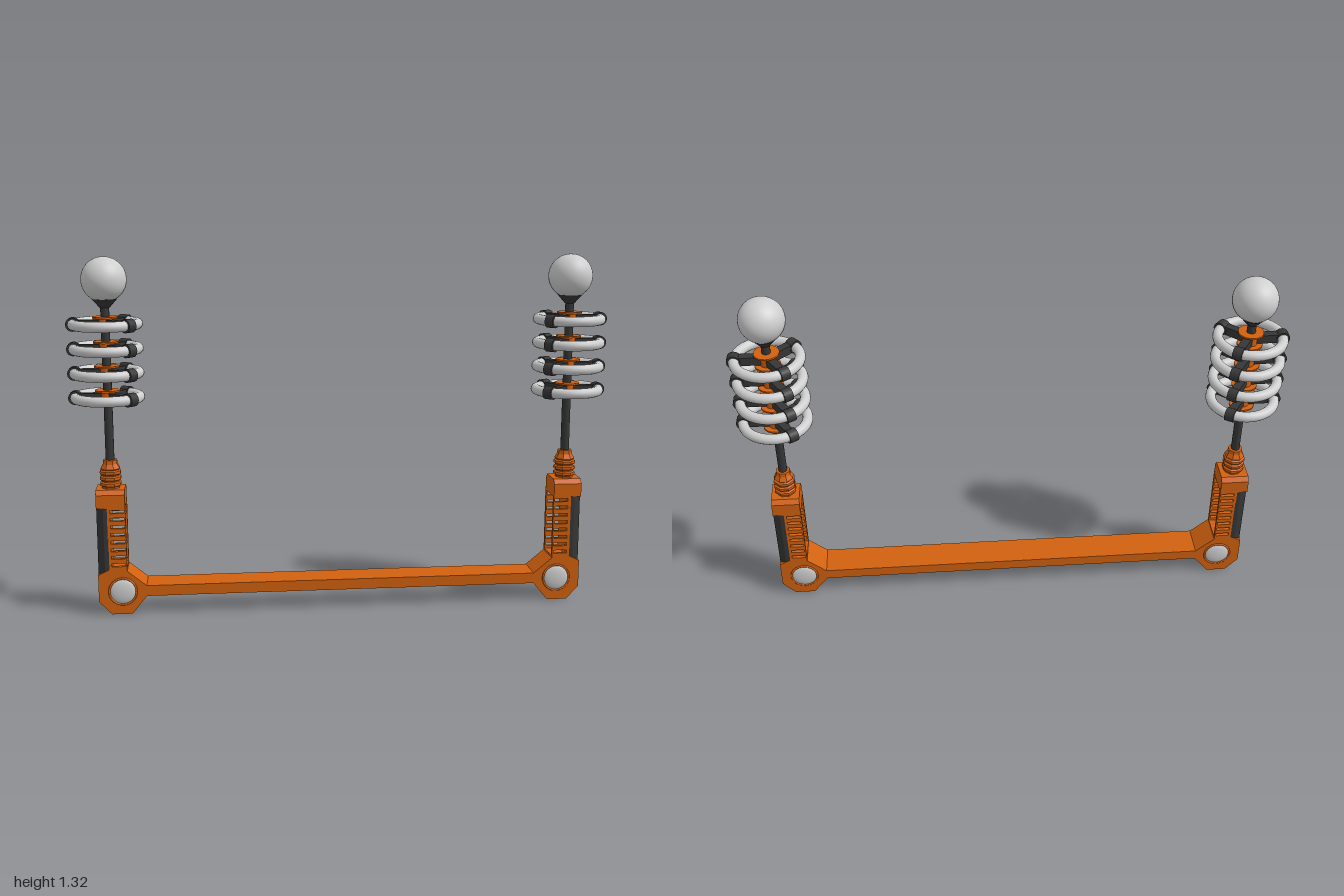
import * as THREE from 'three';

const mat = (name, color) => {
  const m = new THREE.MeshStandardMaterial({ color });
  m.name = name;
  return m;
};

export function createModel() {
  const orange = mat('orange', 0xd2610f);
  const black = mat('charcoal', 0x363636);
  const silver = mat('silver', 0xcfcfcf);
  const root = new THREE.Group();
  root.name = 'twinHandleBar';

  const add = (parent, name, geo, material, x = 0, y = 0, z = 0) => {
    const mesh = new THREE.Mesh(geo, material);
    mesh.name = name;
    mesh.position.set(x, y, z);
    parent.add(mesh);
    return mesh;
  };
  const box = (w, h, d) => new THREE.BoxGeometry(w, h, d);
  const shape = (pts) => new THREE.Shape(pts.map(([x, y]) => new THREE.Vector2(x, y)));
  const extrude = (s, depth) => new THREE.ExtrudeGeometry(s, { depth, bevelEnabled: false });
  const lathe = (pts, n) => new THREE.LatheGeometry(pts.map(([r, y]) => new THREE.Vector2(r, y)), n);

  const D = 0.061; // half depth of bar and handles
  const AX = 0.858; // distance of each spindle from the middle
  const ringHeights = [0.81, 0.899, 0.988, 1.077];

  // Crossbar
  add(root, 'crossbar', box(1.5, 0.04, 2 * D), orange, 0, 0.087, 0);

  // One end, built on +x; the other end is turned half a circle
  const buildEnd = (s) => {
    const g = new THREE.Group();
    g.name = s > 0 ? 'leftEnd' : 'rightEnd';
    if (s < 0) g.rotation.y = Math.PI;
    root.add(g);

    // Angled corner joint with domed pivot caps
    const joint = shape([[0.865, 0], [0.912, 0.05], [0.912, 0.152], [0.87, 0.172], [0.805, 0.172],
      [0.805, 0.165], [0.735, 0.107], [0.735, 0.067], [0.79, 0]]);
    add(g, 'cornerJoint', extrude(joint, 2 * D), orange, 0, 0, -D);
    for (const z of [-1, 1]) {
      const cap = add(g, 'pivotCap', new THREE.SphereGeometry(0.048, 32, 16), silver, 0.823, 0.087, z * 0.059);
      cap.scale.z = 0.25;
      add(g, 'pivotRim', new THREE.TorusGeometry(0.05, 0.004, 8, 32), orange, 0.823, 0.087, z * D);
    }

    // Slotted side walls around an open channel
    const wall = shape([[0.805, 0.165], [0.872, 0.165], [0.872, 0.42], [0.805, 0.42]]);
    for (let i = 0; i < 8; i++) {
      const y = 0.183 + i * 0.029;
      wall.holes.push(new THREE.Path([[0.81, y], [0.81, y + 0.012], [0.861, y + 0.012], [0.861, y]]
        .map(([a, b]) => new THREE.Vector2(a, b))));
    }
    for (const z of [-D, D - 0.014]) add(g, 'slottedWall', extrude(wall, 0.014), orange, 0, 0, z);
    add(g, 'handleSpine', box(0.012, 0.26, 2 * D - 0.01), orange, 0.867, 0.292, 0);

    // Chamfered grip on the outer face
    const grip = shape([[0.87, -D], [0.886, -D], [0.911, -0.046], [0.911, 0.046], [0.886, D], [0.87, D]]);
    const gripGeo = extrude(grip, 0.262).rotateX(-Math.PI / 2);
    // Slant the grip's ends so the outer face is longer than the inner edge
    const p = gripGeo.attributes.position;
    for (let i = 0; i < p.count; i++) {
      const t = (p.getX(i) - 0.87) / 0.041;
      p.setY(i, p.getY(i) > 0.1 ? 0.25 + 0.016 * t : 0.022 - 0.022 * t);
    }
    gripGeo.computeVertexNormals();
    add(g, 'grip', gripGeo, black, 0, 0.152, 0);

    // Handle top with chamfered shoulders
    const top = shape([[-D, 0.405], [D, 0.405], [D, 0.455], [0.047, 0.472], [-0.047, 0.472], [-D, 0.455]]);
    add(g, 'handleTop', extrude(top, 0.105).rotateY(Math.PI / 2), orange, 0.806, 0, 0);
    add(g, 'topPlate', box(0.006, 0.035, 0.08), orange, 0.91, 0.44, 0);

    // Ribbed neck
    const prof = [[0, 0.47], [0.034, 0.47]];
    for (let i = 0; i < 3; i++) {
      const y = 0.478 + i * 0.022;
      prof.push([0.034, y], [0.041, y + 0.004], [0.041, y + 0.014], [0.034, y + 0.018]);
    }
    prof.push([0.038, 0.545], [0.028, 0.562], [0.027, 0.577], [0, 0.577]);
    const neckMesh = add(g, 'neck', lathe(prof, 8).toNonIndexed(), orange, AX, 0, 0);
    neckMesh.geometry.computeVertexNormals();
    neckMesh.rotation.y = Math.PI / 8;

    // Spindle, collar and ball
    add(g, 'spindle', new THREE.CylinderGeometry(0.016, 0.016, 0.6, 20), black, AX, 0.87, 0);
    add(g, 'ballCollar', new THREE.CylinderGeometry(0.046, 0.018, 0.032, 24), black, AX, 1.152, 0);
    add(g, 'ball', new THREE.SphereGeometry(0.082, 40, 24), silver, AX, 1.237, 0);

    // Stack of rings, each on a flanged hub with three spokes and clips
    for (const y of ringHeights) {
      const tier = new THREE.Group();
      tier.name = 'ringTier';
      tier.position.set(AX, y, 0);
      g.add(tier);
      add(tier, 'ring', new THREE.TorusGeometry(0.116, 0.019, 14, 56).rotateX(Math.PI / 2), silver);
      add(tier, 'hub', new THREE.CylinderGeometry(0.026, 0.026, 0.05, 24), orange);
      for (const k of [-1, 1]) {
        add(tier, 'flange', new THREE.CylinderGeometry(0.046, 0.046, 0.006, 28), orange, 0, k * 0.024, 0);
      }
      for (const deg of [0, 123, -138]) {
        const arm = new THREE.Group();
        arm.name = 'spokeArm';
        arm.rotation.y = s * THREE.MathUtils.degToRad(deg);
        tier.add(arm);
        add(arm, 'spoke', box(0.09, 0.032, 0.03), black, 0.065, 0, 0);
        add(arm, 'clip', new THREE.CylinderGeometry(0.025, 0.025, 0.034, 16).rotateX(Math.PI / 2), black, 0.116, 0, 0);
      }
    }
  };
  buildEnd(1);
  buildEnd(-1);
  return root;
}
